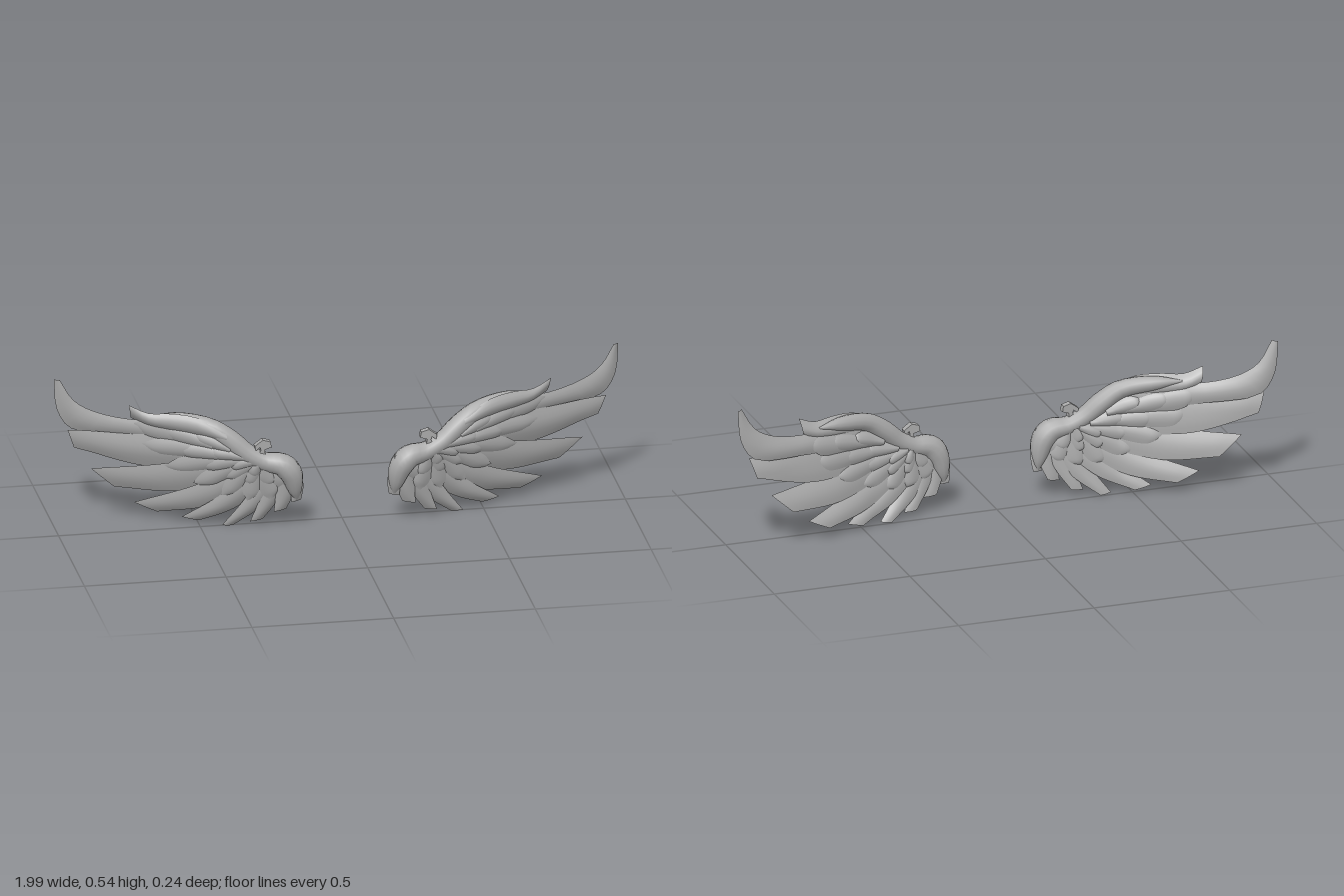
import * as THREE from 'three';
import { mergeGeometries, mergeVertices } from 'three/addons/utils/BufferGeometryUtils.js';

const grey = new THREE.MeshStandardMaterial({ color: 0xaaaaaa });
grey.name = 'stone grey';

// depth of the swept-back wing surface at a given x, y
const SWEEP = [[0.13, 0.093], [0.25, 0.075], [0.45, 0.035], [0.6, -0.018], [0.7, -0.05], [0.85, -0.094], [0.93, -0.108], [1.02, -0.108]];
function surfaceZ(x, y) {
  let i = 0;
  while (i < SWEEP.length - 2 && x > SWEEP[i + 1][0]) i++;
  const [x0, z0] = SWEEP[i], [x1, z1] = SWEEP[i + 1];
  return z0 + (z1 - z0) * (x - x0) / (x1 - x0) - 0.13 * Math.max(0, 0.28 - y);
}

// indexed sheet from a rule fn(u, v) -> [x, y, z]
function sheet(nu, nv, fn) {
  const pos = [], index = [];
  for (let i = 0; i <= nu; i++) for (let j = 0; j <= nv; j++) pos.push(...fn(i / nu, j / nv));
  for (let i = 0; i < nu; i++) for (let j = 0; j < nv; j++) {
    const a = i * (nv + 1) + j, b = a + 1, c = a + nv + 1, d = c + 1;
    index.push(a, b, c, b, d, c);
  }
  const g = new THREE.BufferGeometry();
  g.setAttribute('position', new THREE.Float32BufferAttribute(pos, 3));
  g.setIndex(index);
  return g;
}

const curve = (pts) => new THREE.CatmullRomCurve3(pts.map(([x, y]) => new THREE.Vector3(x, y, 0)), false, 'centripetal');

// lens-section blade between an upper and a lower edge, both running root to tip
function blade(upper, lower, thick, tilt = 0.014, forward = 0) {
  const up = curve(upper), low = curve(lower);
  const side = (sign) => (s, t) => {
    const v = sign > 0 ? t : 1 - t;
    const p = up.getPoint(s).lerp(low.getPoint(s), v);
    const bulge = thick * Math.sin(Math.PI * v) * Math.sqrt(1 - 0.9 * s ** 3);
    return [p.x, p.y, surfaceZ(p.x, p.y) + forward + tilt * (0.5 - v) + sign * bulge];
  };
  const g = mergeGeometries([sheet(12, 6, side(1)), sheet(12, 6, side(-1))]);
  g.computeVertexNormals();
  return g;
}

// feather edge from root to tip, bowed towards its lower side
const bowed = ([x0, y0], [x1, y1], bow) =>
  [[x0, y0], [(x0 + x1) / 2 + (y1 - y0) * bow, (y0 + y1) / 2 - (x1 - x0) * bow], [x1, y1]];

// short covert feather with an oblique tip, pointing from the fan centre to its tip
function covert([tx, ty], [cx, cy], maxLength, width, thick) {
  const l = Math.hypot(tx - cx, ty - cy), dx = (tx - cx) / l, dy = (ty - cy) / l;
  const length = Math.min(maxLength, l * 0.85);
  const at = (back, off) => [tx - dx * back * length - dy * off * width, ty - dy * back * length + dx * off * width];
  return blade(
    [at(1, 0.6), at(0.55, 1), at(0.2, 0.8), at(0, 0.3)],
    [at(1, -0.6), at(0.55, -1), at(0.3, -1), at(0.2, -0.75)],
    thick, 0.024);
}

// rounded leading-edge arm through [x, y, radius] points
function arm(points) {
  const path = new THREE.CatmullRomCurve3(points.map((p) => new THREE.Vector3(...p)));
  const g = mergeVertices(sheet(30, 12, (u, v) => {
    const p = path.getPoint(u), t = path.getTangent(u), l = Math.hypot(t.x, t.y);
    const a = (v % 1) * Math.PI * 2, r = Math.max(p.z, 0.001);
    return [p.x - t.y / l * r * Math.cos(a), p.y + t.x / l * r * Math.cos(a),
      surfaceZ(p.x, p.y) + r * Math.sin(a)];
  }));
  g.computeVertexNormals();
  return g;
}

// flight feathers, outer to inner: upper root, upper tip, lower root, lower tip
const FLIGHT = [
  [[0.45, 0.36], [0.95, 0.352], [0.45, 0.22], [0.925, 0.28]],
  [[0.4, 0.29], [0.867, 0.203], [0.4, 0.17], [0.785, 0.13]],
  [[0.36, 0.24], [0.72, 0.078], [0.34, 0.14], [0.64, 0.04]],
  [[0.33, 0.22], [0.56, 0.03], [0.28, 0.15], [0.5, 0.015]],
  [[0.3, 0.2], [0.425, 0.005], [0.22, 0.17], [0.385, 0]],
  [[0.28, 0.2], [0.33, 0.02], [0.2, 0.2], [0.285, 0.025]],
  [[0.25, 0.2], [0.25, 0.058], [0.17, 0.2], [0.205, 0.065]],
  [[0.21, 0.2], [0.19, 0.095], [0.155, 0.2], [0.155, 0.1]],
];

// covert rows, each a fan of tips; inner rows are thicker
const ROWS = [
  { name: 'outerCovert', length: 0.24, width: 0.046, thick: 0.02, centre: [0.29, 0.27],
    tips: [[0.73, 0.37], [0.7, 0.295], [0.62, 0.215], [0.52, 0.155], [0.42, 0.115], [0.33, 0.1], [0.25, 0.11]] },
  { name: 'middleCovert', length: 0.18, width: 0.042, thick: 0.026, centre: [0.29, 0.26],
    tips: [[0.64, 0.36], [0.59, 0.29], [0.51, 0.23], [0.42, 0.185], [0.34, 0.16], [0.26, 0.16]] },
  { name: 'innerCovert', length: 0.14, width: 0.038, thick: 0.032, centre: [0.3, 0.26],
    tips: [[0.54, 0.35], [0.49, 0.29], [0.41, 0.23], [0.33, 0.195]] },
];

function wingParts() {
  const parts = [];
  // long upswept feather at the wing tip
  parts.push(['tipFeather', blade(
    [[0.5, 0.4], [0.74, 0.395], [0.865, 0.422], [0.93, 0.462], [0.978, 0.54]],
    [[0.5, 0.3], [0.75, 0.325], [0.935, 0.352], [0.985, 0.425], [0.996, 0.538]], 0.012)]);
  FLIGHT.forEach(([upRoot, upTip, lowRoot, lowTip], i) => parts.push(['flightFeather' + (i + 1),
    blade(bowed(upRoot, upTip, 0.03), bowed(lowRoot, lowTip, 0.07), 0.012)]));
  for (const { name, length, width, thick, centre, tips } of ROWS)
    tips.forEach((tip, i) => parts.push([name + (i + 1), covert(tip, centre, length, width, thick)]));

  // web joining the feather roots
  parts.push(['wingWeb', blade(
    [[0.17, 0.25], [0.3, 0.27], [0.42, 0.36], [0.65, 0.4]],
    [[0.17, 0.15], [0.3, 0.12], [0.44, 0.15], [0.62, 0.24]], 0.018, 0)]);

  // pointed covert rising from the leading edge
  parts.push(['leadingCovert', blade(
    [[0.42, 0.37], [0.52, 0.418], [0.61, 0.427], [0.68, 0.425], [0.745, 0.452]],
    [[0.42, 0.32], [0.52, 0.34], [0.62, 0.355], [0.68, 0.37], [0.735, 0.4]], 0.024, 0.02, 0.012)]);

  // shoulder and arm
  parts.push(['arm', arm([[0.172, 0.1, 0.004], [0.178, 0.14, 0.025], [0.194, 0.205, 0.041], [0.225, 0.24, 0.041],
    [0.285, 0.252, 0.034], [0.345, 0.283, 0.034], [0.4, 0.33, 0.036], [0.47, 0.378, 0.032], [0.58, 0.4, 0.025],
    [0.67, 0.405, 0.003]])]);

  // small hooked spur above the shoulder
  const spur = new THREE.Shape([[0.28, 0.26], [0.287, 0.3], [0.262, 0.308], [0.266, 0.328], [0.293, 0.336],
    [0.322, 0.315], [0.318, 0.298], [0.303, 0.31], [0.3, 0.298], [0.317, 0.265]].map((p) => new THREE.Vector2(...p)));
  const spurGeo = new THREE.ExtrudeGeometry(spur, { depth: 0.024, bevelEnabled: false });
  parts.push(['spur', mergeVertices(spurGeo.translate(0, 0, 0.055))]);
  return parts;
}

function mirrored(geometry) {
  const g = geometry.clone().scale(-1, 1, 1);
  g.setIndex(Array.from(g.index.array).reverse());
  return g;
}

export function createModel() {
  const model = new THREE.Group();
  model.name = 'wings';
  const left = new THREE.Group(), right = new THREE.Group();
  left.name = 'leftWing';
  right.name = 'rightWing';
  for (const [name, geometry] of wingParts()) {
    const l = new THREE.Mesh(geometry, grey), r = new THREE.Mesh(mirrored(geometry), grey);
    l.name = r.name = name;
    left.add(l);
    right.add(r);
  }
  model.add(left, right);
  return model;
}
